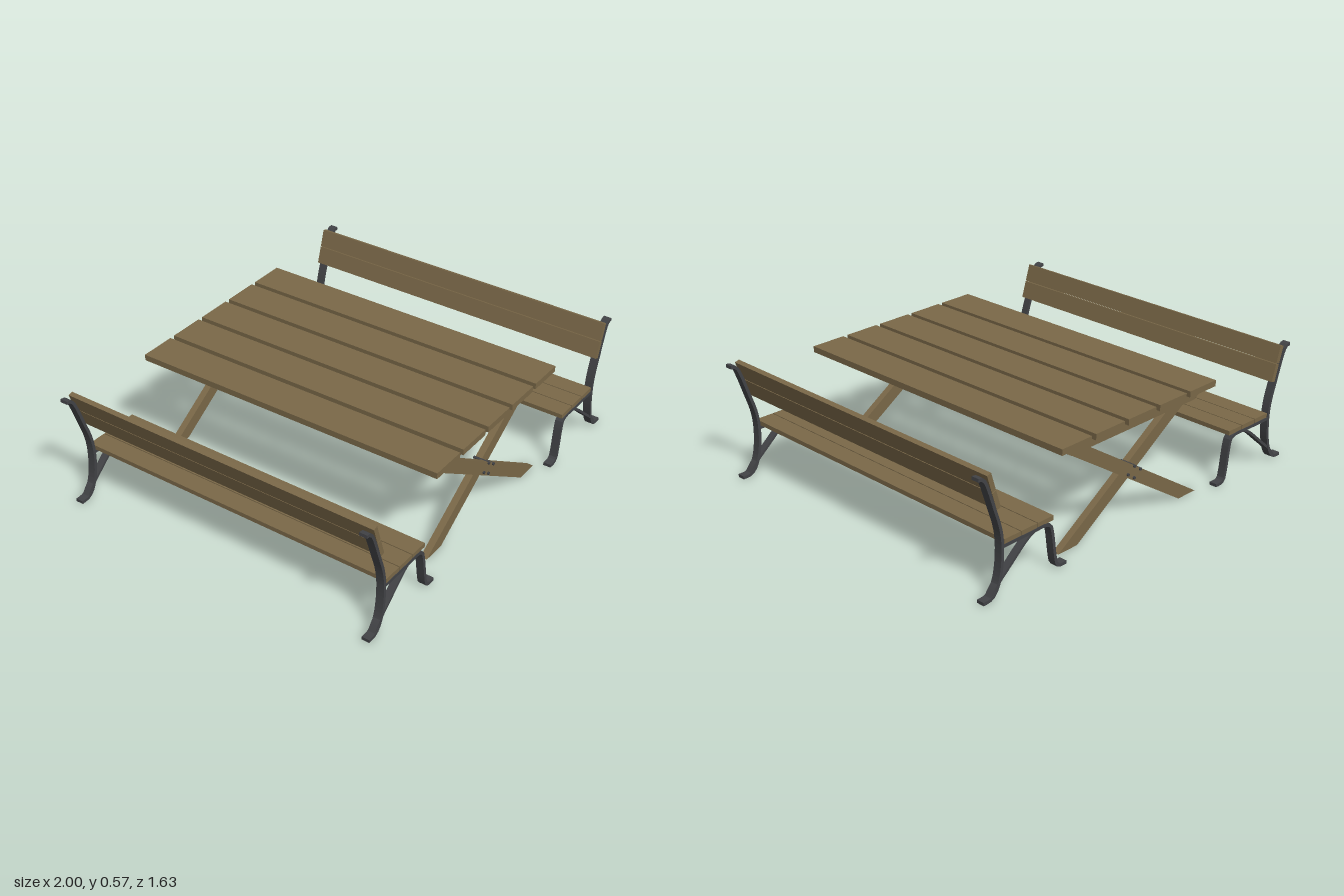
import * as THREE from 'three';

const wood = new THREE.MeshStandardMaterial({ color: 0x7a6848 });
wood.name = 'wood';
const iron = new THREE.MeshStandardMaterial({ color: 0x424346 });
iron.name = 'iron';

function add(parent, name, geometry, material, x = 0, y = 0, z = 0) {
  const mesh = new THREE.Mesh(geometry, material);
  mesh.name = name;
  mesh.position.set(x, y, z);
  parent.add(mesh);
  return mesh;
}

// Outline in x and y, extruded along z and centred on z = 0
function slab(points, depth) {
  const shape = new THREE.Shape(points.map(([x, y]) => new THREE.Vector2(x, y)));
  return new THREE.ExtrudeGeometry(shape, { depth, bevelEnabled: false }).translate(0, 0, -depth / 2);
}

// Flat iron bar of even thickness following a curve through the points
function bar(points, thickness, depth, steps = 32) {
  const curve = new THREE.CatmullRomCurve3(points.map(([x, y]) => new THREE.Vector3(x, y, 0)), false, 'centripetal');
  const upper = [], lower = [];
  for (let i = 0; i <= steps; i++) {
    const p = curve.getPointAt(i / steps), t = curve.getTangentAt(i / steps);
    const nx = -t.y * thickness / 2, ny = t.x * thickness / 2;
    upper.push([p.x + nx, p.y + ny]);
    lower.unshift([p.x - nx, p.y - ny]);
  }
  return slab([...upper, ...lower], depth);
}

const BACK_POST = [[0.997, 0.564], [0.978, 0.562], [0.962, 0.548], [0.945, 0.512], [0.905, 0.396], [0.88, 0.32],
  [0.868, 0.25], [0.87, 0.15], [0.885, 0.075], [0.91, 0.028], [0.935, 0.012], [0.975, 0.01]];
const FRONT_LEG = [[0.497, 0.01], [0.535, 0.01], [0.553, 0.022], [0.562, 0.055], [0.583, 0.19], [0.593, 0.216],
  [0.62, 0.228], [0.7, 0.228], [0.866, 0.228]];
const BRACE = [[0.65, 0.228], [0.69, 0.223], [0.73, 0.2], [0.82, 0.125], [0.9, 0.055], [0.93, 0.016]];

// Bench with its back towards +x, centred on its own origin
function createBench(name) {
  const bench = new THREE.Group();
  bench.name = name;
  const body = new THREE.Group();
  body.name = 'benchBody';
  body.position.x = -0.747;
  bench.add(body);
  for (const z of [-0.789, 0.789]) {
    add(body, 'backPost', bar(BACK_POST, 0.015, 0.038), iron, 0, 0, z);
    add(body, 'frontLeg', bar(FRONT_LEG, 0.015, 0.038), iron, 0, 0, z);
    add(body, 'diagonalBrace', bar(BRACE, 0.012, 0.034), iron, 0, 0, z);
  }
  for (let i = 0; i < 3; i++) {
    add(body, 'seatSlat', new THREE.BoxGeometry(0.091, 0.021, 1.612), wood, 0.62 + i * 0.095, 0.246, 0);
  }
  for (const [x, y] of [[0.8985, 0.444], [0.925, 0.529]]) {
    const slat = add(body, 'backSlat', new THREE.BoxGeometry(0.023, 0.085, 1.612), wood, x, y, 0);
    slat.rotation.z = -0.3;
  }
  return bench;
}

function createTable() {
  const table = new THREE.Group();
  table.name = 'table';
  // Top planks
  for (let i = 0; i < 5; i++) {
    add(table, 'topPlank', new THREE.BoxGeometry(0.178, 0.029, 1.575), wood, -0.375 + i * 0.2035, 0.52, -0.012);
  }
  // Crossed legs at each end, side by side, with a brace under the planks
  const cx = 0.0325;
  const leg = [[-0.4325, 0], [-0.3175, 0], [0.4675, 0.505], [0.3525, 0.505]];
  const mirrored = leg.map(([x, y]) => [-x, y]).reverse();
  const brace = [[-0.4, 0.46], [0.4, 0.46], [0.467, 0.505], [-0.467, 0.505]];
  for (const z of [0.702, -0.728]) {
    add(table, 'outerLeg', slab(mirrored, 0.033), wood, cx, 0, z + 0.0175);
    add(table, 'innerLeg', slab(leg, 0.033), wood, cx, 0, z - 0.0175);
    for (const s of [-1, 1]) add(table, 'topBrace', slab(brace, 0.031), wood, cx, 0, z + s * 0.0175);
    // Bolts through the crossing
    for (const [x, y] of [[-0.04, 0], [0.04, 0], [0, 0.028], [0, -0.028]]) {
      const bolt = add(table, 'bolt', new THREE.CylinderGeometry(0.007, 0.007, 0.082, 10), iron, cx + x, 0.247 + y, z);
      bolt.rotation.x = Math.PI / 2;
    }
  }
  return table;
}

export function createModel() {
  const model = new THREE.Group();
  model.name = 'picnicSet';
  model.add(createTable());
  const left = createBench('leftBench');
  left.position.set(0.746, 0, 0.005);
  left.rotation.y = -0.003;
  const right = createBench('rightBench');
  right.position.set(-0.744, 0, -0.01);
  right.rotation.y = Math.PI - 0.0065;
  model.add(left, right);
  return model;
}
